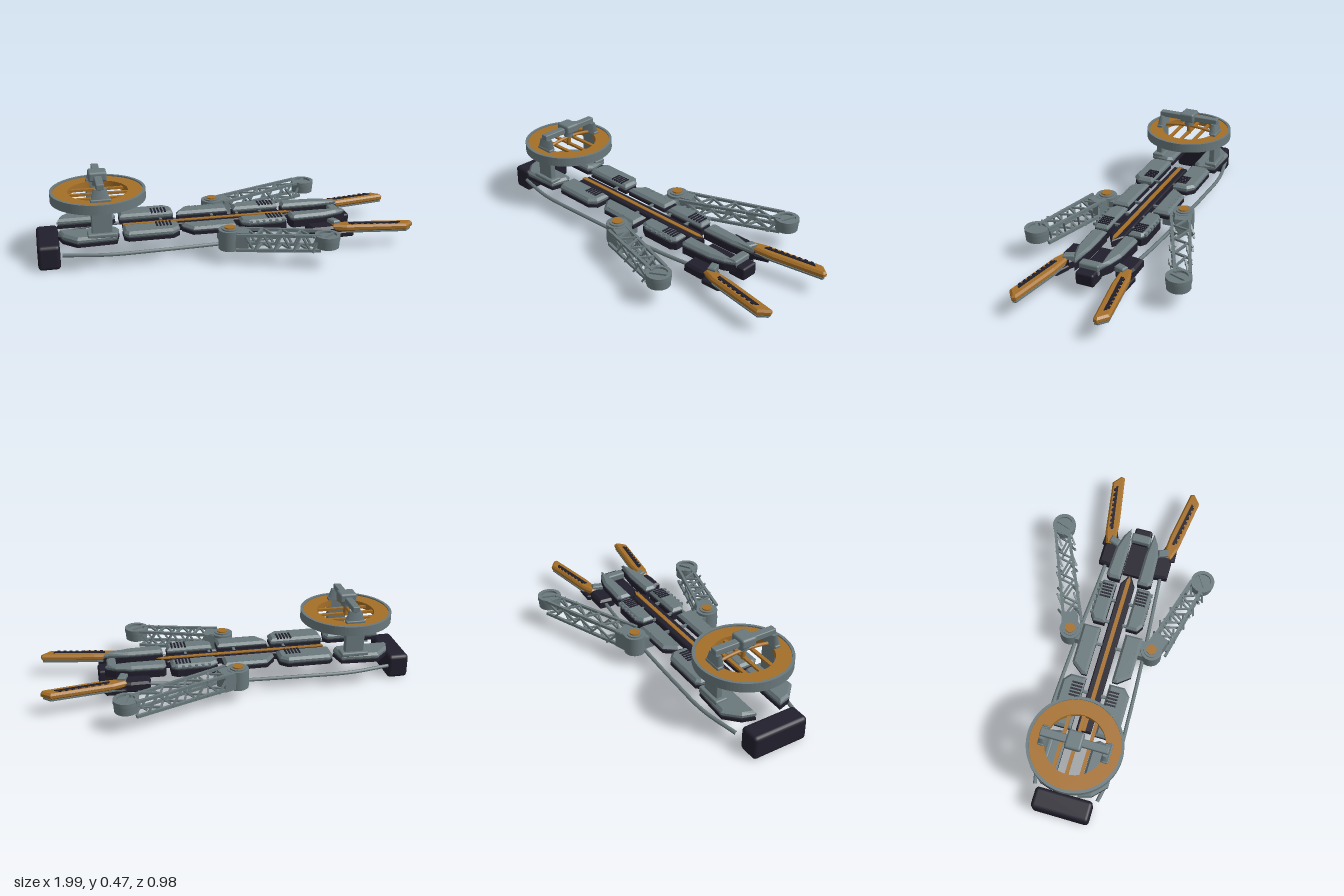
import * as THREE from 'three';
import { RoundedBoxGeometry } from 'three/addons/geometries/RoundedBoxGeometry.js';

const mat = (name, color) => Object.assign(new THREE.MeshStandardMaterial({ color }), { name });

export function createModel() {
  const grey = mat('steel grey', 0x6a797d);
  const orange = mat('amber', 0xa56f28);
  const dark = mat('dark navy', 0x211f2c);
  const root = new THREE.Group();
  const body = new THREE.Group();
  body.name = 'body';
  body.position.z = 0.018; // everything mirrors about this line
  root.add(body);

  const add = (name, geo, material, parent = body) => {
    const m = new THREE.Mesh(geo, material);
    m.name = name;
    parent.add(m);
    return m;
  };
  const box = (name, material, x, y, z, w, h, d, parent) => {
    const m = add(name, new THREE.BoxGeometry(w, h, d), material, parent);
    m.position.set(x, y, z);
    return m;
  };
  const rounded = (name, material, x, y, z, w, h, d, r) => {
    const m = add(name, new RoundedBoxGeometry(w, h, d, 2, r), material);
    m.position.set(x, y, z);
    return m;
  };
  const cyl = (name, material, x, y0, y1, z, r, r2 = r, seg = 32) => {
    const m = add(name, new THREE.CylinderGeometry(r2, r, y1 - y0, seg), material);
    m.position.set(x, (y0 + y1) / 2, z);
    return m;
  };
  // Bevelled slab from a plan outline of [x, z] points
  const slab = (name, material, pts, y0, y1, bevel = 0.01, side = 1) => {
    const shape = new THREE.Shape(pts.map(([x, z]) => new THREE.Vector2(x, -z * side)));
    const geo = new THREE.ExtrudeGeometry(shape, {
      depth: y1 - y0 - 2 * bevel, bevelEnabled: bevel > 0, bevelSize: bevel,
      bevelThickness: bevel, bevelOffset: -bevel, bevelSegments: 1,
    });
    geo.rotateX(-Math.PI / 2).translate(0, y0 + bevel, 0);
    return add(name, geo, material);
  };
  // Square bar between two points
  const bar = (name, material, a, b, t) => {
    const m = add(name, new THREE.BoxGeometry(t, t, a.distanceTo(b)), material);
    m.position.copy(a).lerp(b, 0.5);
    m.lookAt(b);
    return m;
  };
  const V = (x, y, z) => new THREE.Vector3(x, y, z);

  // Rear block
  rounded('rearBlock', dark, -0.943, 0.066, 0, 0.114, 0.132, 0.31, 0.02);

  // Central spine with amber stripe
  slab('spine', dark, [[-0.55, -0.04], [0.32, -0.04], [0.385, 0], [0.32, 0.04], [-0.55, 0.04]], 0.115, 0.158, 0.006);
  slab('spineStripe', orange, [[-0.55, -0.011], [0.34, -0.011], [0.375, 0], [0.34, 0.011], [-0.55, 0.011]], 0.156, 0.163, 0);

  // Nose crossbar and block
  rounded('noseCrossbar', grey, 0.617, 0.132, 0, 0.05, 0.06, 0.11, 0.01);
  rounded('noseBlock', dark, 0.64, 0.1, 0, 0.1, 0.07, 0.1, 0.012);
  box('noseFrame', dark, 0.5, 0.1, 0, 0.2, 0.03, 0.1);

  // Armour plates: outline [x, z], top height
  const plates = [
    [[[-0.89, 0.07], [-0.6, 0.07], [-0.58, 0.1], [-0.6, 0.2], [-0.8, 0.21], [-0.87, 0.14]], 0.188],
    [[[-0.56, 0.065], [-0.27, 0.065], [-0.27, 0.15], [-0.31, 0.185], [-0.54, 0.185], [-0.56, 0.16]], 0.188],
    [[[-0.25, 0.07], [0.03, 0.07], [0.03, 0.168], [-0.2, 0.165], [-0.25, 0.1]], 0.178],
    [[[0.062, 0.06], [0.31, 0.06], [0.31, 0.13], [0.28, 0.15], [0.1, 0.15], [0.062, 0.125]], 0.183],
    [[[0.335, 0.05], [0.52, 0.05], [0.655, 0.068], [0.6, 0.1], [0.52, 0.122], [0.35, 0.13], [0.335, 0.11]], 0.182],
  ];
  for (const s of [1, -1]) {
    plates.forEach(([pts, top], i) => {
      slab('armourPlate' + i, grey, pts, 0.15, top, 0.013, s);
      slab('plateUnderside' + i, dark, pts.map(([x, z]) => [x, z * 0.97 + 0.003]), i > 2 ? 0.115 : 0.136, 0.152, 0, s);
    });
    // Dark vent ribs on two plates
    for (const x0 of [-0.385, 0.21]) for (let i = 0; i < 5; i++)
      box('ventRib', dark, x0 + i * 0.018, x0 < 0 ? 0.188 : 0.183, s * 0.1, 0.009, 0.008, 0.06);
    // Small ridges along the plate edges
    for (let x = -0.52; x < 0.3; x += 0.035)
      if (x < -0.32 || (x > -0.2 && x < 0) || x > 0.09) box('edgeTooth', grey, x, 0.172, s * 0.146, 0.014, 0.014, 0.016);
    // Pegs joining plates to the spine
    for (const x of [-0.34, -0.06, 0.08, 0.21]) box('peg', grey, x, 0.148, s * 0.05, 0.014, 0.014, 0.05);

    // Side cable
    const path = new THREE.CatmullRomCurve3([
      V(-0.875, 0.087, s * 0.17), V(-0.65, 0.087, s * 0.21), V(-0.4, 0.087, s * 0.208),
      V(0, 0.087, s * 0.19), V(0.3, 0.09, s * 0.17), V(0.45, 0.1, s * 0.16)]);
    add('sideCable', new THREE.TubeGeometry(path, 40, 0.01, 8), grey);

    // Front claw
    slab('clawBase', dark, [[0.42, 0.11], [0.55, 0.1], [0.6, 0.13], [0.6, 0.185], [0.53, 0.2], [0.43, 0.2]], 0.07, 0.128, 0.012, s);
    slab('clawSole', dark, [[0.52, 0.12], [0.6, 0.13], [0.68, 0.16], [0.66, 0.21], [0.56, 0.215]], 0.07, 0.1, 0.006, s);
    slab('clawHinge', grey, [[0.54, 0.12], [0.58, 0.11], [0.6, 0.165], [0.56, 0.175]], 0.11, 0.15, 0.006, s);
    slab('clawBlade', orange, [[0.55, 0.14], [0.7, 0.152], [0.985, 0.2], [0.99, 0.222], [0.94, 0.262], [0.62, 0.214], [0.55, 0.19]], 0.1, 0.135, 0.01, s);
    slab('clawEdge', grey, [[0.58, 0.145], [0.7, 0.155], [0.98, 0.203], [0.98, 0.222], [0.94, 0.257], [0.62, 0.21]], 0.093, 0.101, 0, s);
    slab('clawStripe', dark, [[0.64, 0.175], [0.92, 0.222], [0.91, 0.234], [0.64, 0.19]], 0.131, 0.139, 0, s);
    for (let i = 0; i < 8; i++)
      box('clawTooth', dark, 0.66 + i * 0.033, 0.137, s * (0.194 + i * 0.0055), 0.016, 0.008, 0.014);

    // Wheel post, base flange and upper bracket
    rounded('postBase', grey, -0.672, 0.186, s * 0.168, 0.15, 0.024, 0.07, 0.008);
    rounded('wheelPost', grey, -0.672, 0.28, s * 0.168, 0.105, 0.19, 0.034, 0.006);
    const bracket = new THREE.CylinderGeometry(0.032 * Math.SQRT2, 0.048 * Math.SQRT2, 0.06, 4)
      .rotateY(Math.PI / 4).scale(1, 1, 0.4).translate(-0.672, 0.395, s * 0.163);
    add('postBracket', bracket, grey);
  }

  // Large wheel: grey rim, amber ring, slats
  const ringGeo = (ro, ri, y0, y1) => {
    const geo = new THREE.LatheGeometry([[ri, y0], [ro, y0], [ro, y0], [ro, y1], [ro, y1], [ri, y1], [ri, y1], [ri, y0]]
      .map(([x, y]) => new THREE.Vector2(x, y)), 64);
    return geo.toNonIndexed();
  };
  const flatRing = (name, material, ro, ri, y0, y1) => {
    const shape = new THREE.Shape().absarc(0, 0, ro, 0, Math.PI * 2);
    shape.holes.push(new THREE.Path().absarc(0, 0, ri, 0, Math.PI * 2, true));
    const geo = new THREE.ExtrudeGeometry(shape, { depth: y1 - y0, bevelEnabled: false, curveSegments: 40 });
    geo.rotateX(-Math.PI / 2).translate(-0.672, y0, 0);
    return add(name, geo, material);
  };
  flatRing('wheelRim', grey, 0.247, 0.232, 0.318, 0.368);
  flatRing('wheelRing', orange, 0.233, 0.155, 0.325, 0.361);
  for (const z of [-0.072, 0, 0.072]) {
    const half = Math.sqrt(0.158 ** 2 - z * z);
    box('wheelSlat', orange, -0.672, 0.343, z, half * 2, 0.012, 0.018);
  }
  // Arched amber spring across the wheel
  const arch = new THREE.QuadraticBezierCurve3(V(-0.672, 0.366, -0.15), V(-0.672, 0.4, 0), V(-0.672, 0.366, 0.15));
  add('wheelArch', new THREE.TubeGeometry(arch, 20, 0.009, 8), orange);
  cyl('wheelHub', orange, -0.672, 0.335, 0.393, 0, 0.013);

  // Overhead bridge
  rounded('bridgeBeam', grey, -0.672, 0.436, 0, 0.04, 0.032, 0.354, 0.005);
  rounded('bridgeBlock', grey, -0.672, 0.445, 0, 0.095, 0.052, 0.084, 0.012);
  cyl('bridgeNeck', grey, -0.672, 0.392, 0.42, 0, 0.026);

  // Lattice arms
  const arms = [[0.446, 0.4, 1], [0.575, -0.446, -1]];
  for (const [ex, ez, s] of arms) {
    const px = -0.025, pz = s * 0.23;
    const from = V(px, 0, pz), to = V(ex, 0, ez);
    const dir = to.clone().sub(from), len = dir.length();
    dir.normalize();
    const across = V(-dir.z, 0, dir.x);
    const at = (d, y, w) => from.clone().addScaledVector(dir, d).addScaledVector(across, w * (0.05 - 0.014 * d / len)).setY(y);

    // Pivot housing with amber cap
    cyl('armPivot', grey, px, 0.075, 0.18, pz, 0.058);
    cyl('armPivotCollar', grey, px, 0.18, 0.187, pz, 0.042);
    cyl('armPivotCap', orange, px, 0.186, 0.194, pz, 0.028);
    box('armMount', grey, px, 0.13, s * 0.175, 0.09, 0.07, 0.1);
    const root2 = box('armRoot', grey, px + dir.x * 0.05, 0.13, pz + dir.z * 0.05, 0.1, 0.095, 0.09);
    root2.rotation.y = -Math.atan2(dir.z, dir.x);

    // Rails and zigzag bracing
    const yLow = 0.092, yHigh = 0.172, n = 8, start = 0.08, end = len - 0.03;
    for (const w of [-1, 1]) for (const y of [yLow, yHigh])
      bar('armRail', grey, at(start - 0.04, y, w), at(end, y, w), 0.015);
    for (let i = 0; i < n; i++) {
      const d0 = start + (end - start) * i / n, d1 = start + (end - start) * (i + 1) / n;
      const f = i % 2 ? 1 : -1;
      for (const y of [yLow, yHigh]) bar('armBrace', grey, at(d0, y, f), at(d1, y, -f), 0.01);
      for (const w of [-1, 1])
        bar('armSideBrace', grey, at(d0, f > 0 ? yLow : yHigh, w), at(d1, f > 0 ? yHigh : yLow, w), 0.01);
    }

    // End pod: drum, raised rim and crossbar
    cyl('armPod', grey, ex, 0.11, 0.165, ez, 0.06, 0.064);
    add('armPodRim', ringGeo(0.065, 0.046, 0.155, 0.176), grey).position.set(ex, 0, ez);
    const cross = box('armPodBar', grey, ex, 0.168, ez, 0.096, 0.012, 0.016);
    cross.rotation.y = -Math.atan2(dir.z, dir.x) + 0.9;
  }

  return root;
}
